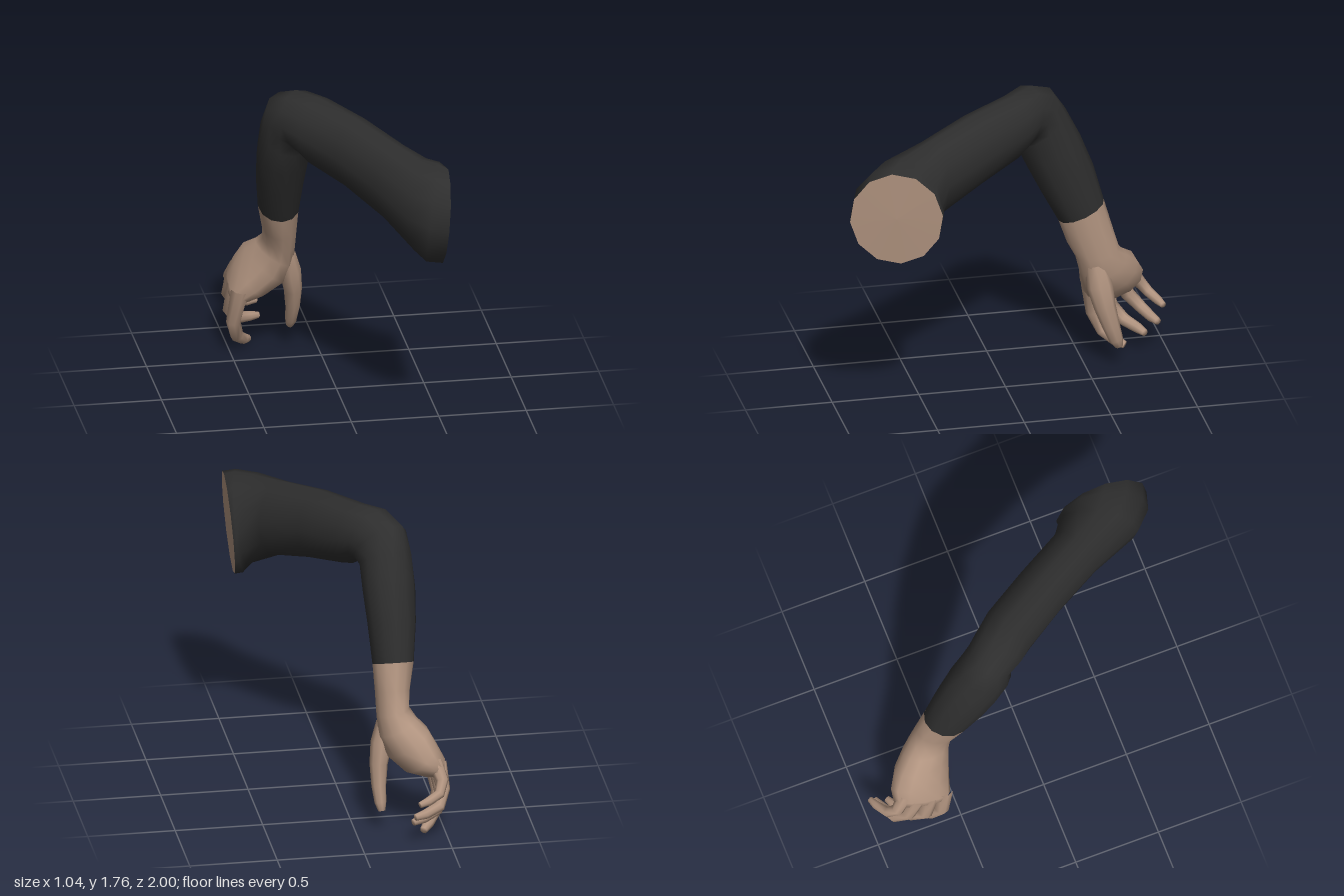
import * as THREE from 'three';

const skin = new THREE.MeshStandardMaterial({ color: 0xb0937f });
skin.name = 'skin';
const sleeve = new THREE.MeshStandardMaterial({ color: 0x2e2e2e });
sleeve.name = 'sleeve black';

const V = (a) => new THREE.Vector3(...a);

// Skin over elliptical rings; each ring is [centre, half axis u, half axis v]
function loft(name, rings, material, closeEnd = false, sides = 12) {
  const R = rings.map((r) => r.map(V));
  const pos = [], idx = [];
  for (const [c, u, v] of R) {
    for (let i = 0; i < sides; i++) {
      const a = (i / sides) * Math.PI * 2;
      pos.push(...c.clone().addScaledVector(u, Math.cos(a)).addScaledVector(v, Math.sin(a)).toArray());
    }
  }
  const along = R[1][0].clone().sub(R[0][0]);
  const forward = R[0][1].clone().cross(R[0][2]).dot(along) > 0;
  const tri = (a, b, c) => (forward ? idx.push(a, b, c) : idx.push(a, c, b));
  for (let k = 0; k < R.length - 1; k++) {
    for (let i = 0; i < sides; i++) {
      const j = (i + 1) % sides, p = k * sides, q = p + sides;
      tri(p + i, p + j, q + j);
      tri(p + i, q + j, q + i);
    }
  }
  if (closeEnd) {
    const p = (R.length - 1) * sides, tip = pos.length / 3;
    pos.push(...R[R.length - 1][0].toArray());
    for (let i = 0; i < sides; i++) tri(p + i, p + ((i + 1) % sides), tip);
  }
  const g = new THREE.BufferGeometry();
  g.setAttribute('position', new THREE.Float32BufferAttribute(pos, 3));
  g.setIndex(idx);
  g.computeVertexNormals();
  const m = new THREE.Mesh(g, material);
  m.name = name;
  return m;
}

// Tapered digit through points [x, y, z, radius]
function digit(name, pts, widen = 1) {
  const P = pts.map((p) => V(p.slice(0, 3)));
  const ref = new THREE.Vector3(0, 0.7, -0.7);
  const rings = P.map((p, i) => {
    const t = P[Math.min(i + 1, P.length - 1)].clone().sub(P[Math.max(i - 1, 0)]).normalize();
    const u = t.clone().cross(ref).normalize();
    const v = t.clone().cross(u);
    const r = pts[i][3];
    return [p.toArray(), u.multiplyScalar(r).toArray(), v.multiplyScalar(r * widen).toArray()];
  });
  return loft(name, rings, skin, true, 8);
}

export function createModel() {
  const group = new THREE.Group();
  group.name = 'arm';

  const shoulderRim = [[0.49, 1.33, 0.735], [0.015, 0, -0.265], [0.02, 0.287, 0.03]];
  const cuff = [[-0.247, 0.945, -0.49], [0.118, 0, 0], [0, 0.055, -0.13]];

  // Sleeve from shoulder, around the bent elbow, to the cuff
  group.add(loft('sleeve', [
    shoulderRim,
    [[0.43, 1.345, 0.715], [0.06, 0, -0.255], [0.03, 0.295, 0.02]],
    [[0.365, 1.375, 0.665], [0.105, 0, -0.2], [0, 0.272, 0]],
    [[0.245, 1.45, 0.485], [0.128, 0, -0.082], [0, 0.23, 0]],
    [[0.07, 1.525, 0.2], [0.128, 0, -0.085], [0, 0.21, 0]],
    [[-0.095, 1.565, -0.053], [0.128, 0, -0.085], [0, 0.193, -0.02]],
    [[-0.17, 1.59, -0.14], [0.132, 0, -0.08], [-0.03, 0.172, -0.05]],
    [[-0.215, 1.565, -0.215], [0.138, 0, -0.05], [-0.06, 0.14, -0.1]],
    [[-0.242, 1.485, -0.255], [0.148, 0, -0.02], [-0.02, 0.095, -0.145]],
    [[-0.25, 1.33, -0.33], [0.15, 0, 0], [0, 0.08, -0.155]],
    [[-0.253, 1.155, -0.407], [0.138, 0, 0], [0, 0.065, -0.153]],
    cuff,
  ], sleeve));

  // Flat cut end at the shoulder
  group.add(loft('shoulderEnd', [shoulderRim, [[0.496, 1.33, 0.735], [0, 0, 0], [0, 0, 0]]], skin));

  // Wrist and palm
  group.add(loft('wristAndPalm', [
    cuff,
    [[-0.235, 0.8, -0.535], [0.1, 0, 0], [0, 0.04, -0.13]],
    [[-0.23, 0.69, -0.578], [0.093, -0.02, 0], [0, 0.02, -0.125]],
    [[-0.25, 0.61, -0.615], [0.105, -0.055, 0], [-0.01, 0.025, -0.14]],
    [[-0.3, 0.53, -0.66], [0.11, -0.085, 0], [-0.02, 0.035, -0.17]],
    [[-0.375, 0.44, -0.7], [0.088, -0.08, 0], [0, 0.04, -0.175]],
    [[-0.445, 0.385, -0.715], [0.06, -0.05, 0], [0.015, 0.045, -0.165]],
    [[-0.475, 0.355, -0.715], [0.03, -0.025, 0], [0.01, 0.04, -0.13]],
  ], skin, true));

  // Curled digits
  group.add(digit('thumb', [
    [-0.19, 0.62, -0.56, 0.05], [-0.165, 0.5, -0.58, 0.062], [-0.145, 0.38, -0.605, 0.052],
    [-0.14, 0.26, -0.64, 0.042], [-0.145, 0.17, -0.67, 0.034], [-0.15, 0.125, -0.69, 0.02],
  ], 1.2));
  group.add(digit('indexFinger', [
    [-0.45, 0.4, -0.585, 0.055], [-0.485, 0.2, -0.61, 0.042], [-0.455, 0.09, -0.66, 0.037],
    [-0.41, 0.045, -0.72, 0.032], [-0.375, 0.025, -0.77, 0.022],
  ]));
  group.add(digit('middleFinger', [
    [-0.46, 0.41, -0.67, 0.052], [-0.487, 0.23, -0.71, 0.042], [-0.445, 0.15, -0.78, 0.036],
    [-0.36, 0.13, -0.84, 0.03], [-0.3, 0.122, -0.87, 0.02],
  ]));
  group.add(digit('ringFinger', [
    [-0.46, 0.43, -0.75, 0.05], [-0.48, 0.29, -0.81, 0.04], [-0.445, 0.215, -0.88, 0.034],
    [-0.36, 0.19, -0.92, 0.029], [-0.3, 0.185, -0.945, 0.02],
  ]));
  group.add(digit('littleFinger', [
    [-0.43, 0.46, -0.81, 0.045], [-0.465, 0.37, -0.87, 0.036], [-0.44, 0.31, -0.92, 0.03],
    [-0.37, 0.285, -0.96, 0.026], [-0.32, 0.275, -0.98, 0.018],
  ]));
  return group;
}
